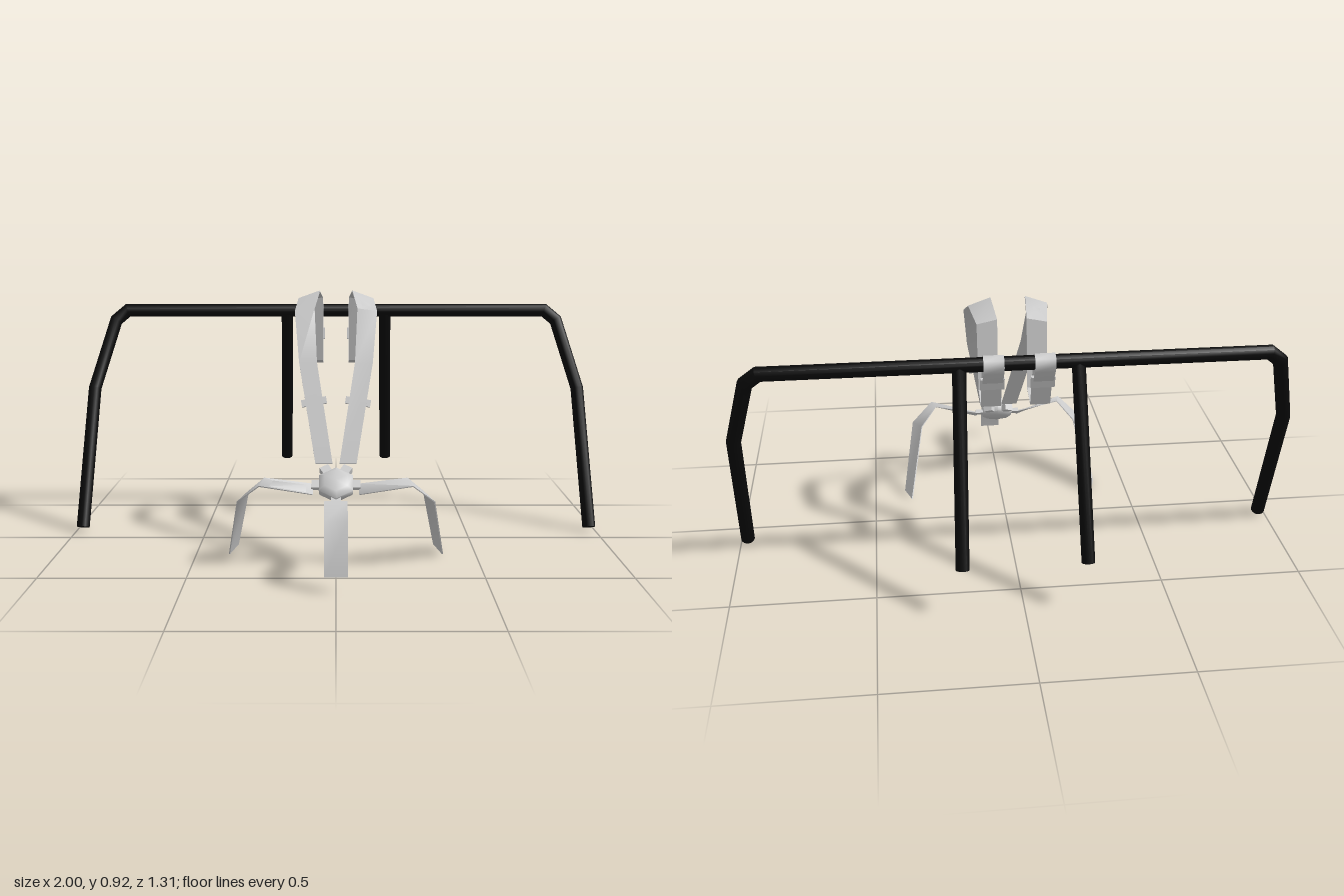
import * as THREE from 'three';
import { toCreasedNormals } from 'three/addons/utils/BufferGeometryUtils.js';

const V = (x, y, z) => new THREE.Vector3(x, y, z);
const webbing = new THREE.MeshStandardMaterial({ color: 0xcccccc, side: THREE.DoubleSide });
const metal = new THREE.MeshStandardMaterial({ color: 0xcccccc });
const barPaint = new THREE.MeshStandardMaterial({ color: 0x0a0a0a });

// Joins closed rings of points into a capped solid
function loft(rings, crease) {
  const n = rings[0].length, idx = [], last = (rings.length - 1) * n;
  for (let i = 0; i < rings.length - 1; i++)
    for (let j = 0; j < n; j++) {
      const a = i * n + j, b = i * n + (j + 1) % n;
      idx.push(a, b, a + n, b, b + n, a + n);
    }
  for (let j = 1; j < n - 1; j++) idx.push(0, j + 1, j, last, last + j, last + j + 1);
  const g = new THREE.BufferGeometry();
  g.setAttribute('position', new THREE.Float32BufferAttribute(rings.flat().flatMap(p => p.toArray()), 3));
  g.setIndex(idx);
  return toCreasedNormals(g, crease);
}

// Round bar along a bent path lying in the plane with the given normal, mitred at the bends
function bentBar(points, normal, r, sides = 12) {
  const u = normal.clone().normalize();
  const rings = points.map((p, i) => {
    const before = points[i - 1], after = points[i + 1];
    const t0 = (before ? p.clone().sub(before) : after.clone().sub(p)).normalize();
    const t1 = (after ? after.clone().sub(p) : t0.clone()).normalize();
    const t = t0.clone().add(t1).normalize();
    const w = t.clone().cross(u).normalize().divideScalar(t.dot(t0));
    return Array.from({ length: sides }, (_, k) => {
      const q = k / sides * Math.PI * 2;
      return p.clone().addScaledVector(u, r * Math.cos(q)).addScaledVector(w, r * Math.sin(q));
    });
  });
  return loft(rings, 0.8);
}

// Thin belt through pairs of edge points
function belt(pairs, thickness = 0.004) {
  const mid = pairs.map(([a, b]) => a.clone().lerp(b, 0.5));
  const rings = pairs.map(([a, b], i) => {
    const t = mid[Math.min(i + 1, mid.length - 1)].clone().sub(mid[Math.max(i - 1, 0)]);
    const h = b.clone().sub(a).cross(t).setLength(thickness / 2);
    return [a.clone().sub(h), b.clone().sub(h), b.clone().add(h), a.clone().add(h)];
  });
  return loft(rings, 1.1);
}

export function createModel() {
  const model = new THREE.Group();
  const add = (parent, name, geo, mat, pos = [0, 0, 0], rot = [0, 0, 0]) => {
    const m = new THREE.Mesh(geo, mat);
    m.name = name;
    m.position.set(...pos);
    m.rotation.set(...rot);
    parent.add(m);
  };
  // Strap from rows of [inner x, y, z, outer x, y, z], mirrored by s
  const strap = (name, rows, s = 1) => add(model, name,
    belt(rows.map(([a, b, c, d, e, f]) => [V(a * s, b, c), V(d * s, e, f)])), webbing);

  // Main hoop, leaning backwards
  const half = [[0.975, 0.018], [0.953, 0.53], [0.88, 0.79], [0.835, 0.828]];
  const hoopPoint = (x, y) => V(x, y, -0.095 - 0.395 * (y - 0.018));
  const hoop = [...half.map(([x, y]) => hoopPoint(-x, y)),
    ...half.slice().reverse().map(([x, y]) => hoopPoint(x, y))];
  add(model, 'mainHoop', bentBar(hoop, V(0, 0.395, 1), 0.025), barPaint);

  for (const s of [1, -1]) {
    const side = s > 0 ? 'left' : 'right';

    // Rear brace
    const top = V(0.195 * s, 0.825, -0.415), foot = V(0.21 * s, 0.188, -0.635);
    const across = foot.clone().sub(top).cross(V(1, 0, 0));
    add(model, side + 'RearBrace', bentBar([top, foot], across, 0.023), barPaint);

    // Shoulder strap: loops round the bar, then runs over the shoulder to the buckle
    const level = [[0.75, -0.392], [0.8, -0.43], [0.825, -0.444], [0.846, -0.437], [0.857, -0.415],
      [0.847, -0.395], [0.82, -0.386], [0.63, -0.318], [0.65, -0.23]];
    strap(side + 'ShoulderStrap', [
      ...level.map(([y, z]) => [0.05, y, z, 0.118, y, z]),
      [0.05, 0.895, -0.2, 0.12, 0.88, -0.2],
      [0.06, 0.925, -0.07, 0.138, 0.897, -0.07],
      [0.078, 0.865, 0, 0.15, 0.855, 0],
      [0.068, 0.68, 0.11, 0.132, 0.68, 0.11],
      [0.012, 0.345, 0.272, 0.072, 0.345, 0.272],
    ], s);
    add(model, side + 'BarAdjuster', new THREE.BoxGeometry(0.08, 0.045, 0.012), metal,
      [0.084 * s, 0.74, -0.376], [-0.3, 0, 0]);
    add(model, side + 'ShoulderAdjuster', new THREE.BoxGeometry(0.09, 0.007, 0.026), metal,
      [0.078 * s, 0.547, 0.169], [1.1, -0.17 * s, 0]);

    // Lap strap
    strap(side + 'LapStrap', [
      [0.08, 0.285, 0.325, 0.08, 0.255, 0.36],
      [0.245, 0.31, 0.345, 0.26, 0.297, 0.415],
      [0.305, 0.25, 0.29, 0.338, 0.232, 0.37],
      [0.357, 0.015, 0.13, 0.382, 0.003, 0.22],
    ], s);
  }

  // Crotch strap
  strap('crotchStrap', [[0.235, 0.39], [0.22, 0.432], [0.28, 0.56], [0.23, 0.615], [0.055, 0.655]]
    .map(([y, z]) => [-0.038, y, z, 0.038, y, z]));

  // Six-sided buckle with domed faces
  const buckle = new THREE.Group();
  buckle.name = 'buckle';
  buckle.position.set(0, 0.283, 0.333);
  buckle.rotation.x = 0.68;
  model.add(buckle);
  const profile = [[0, -0.028], [0.045, -0.024], [0.066, -0.012], [0.068, 0.012], [0.045, 0.026], [0, 0.032]]
    .map(([x, y]) => new THREE.Vector2(x, y));
  add(buckle, 'buckleBody', toCreasedNormals(new THREE.LatheGeometry(profile, 6), 1.1), metal);

  // Five tongues: crotch, lap and the thicker shoulder ones
  for (const [name, deg, thick] of [['crotchTongue', 0, 0.014], ['leftLapTongue', 90, 0.014],
    ['rightLapTongue', 270, 0.014], ['leftShoulderTongue', 150, 0.026], ['rightShoulderTongue', 210, 0.026]]) {
    const a = deg * Math.PI / 180;
    add(buckle, name, new THREE.BoxGeometry(0.034, thick, 0.042), metal,
      [Math.sin(a) * 0.064, 0, Math.cos(a) * 0.064], [0, a, 0]);
  }
  return model;
}
